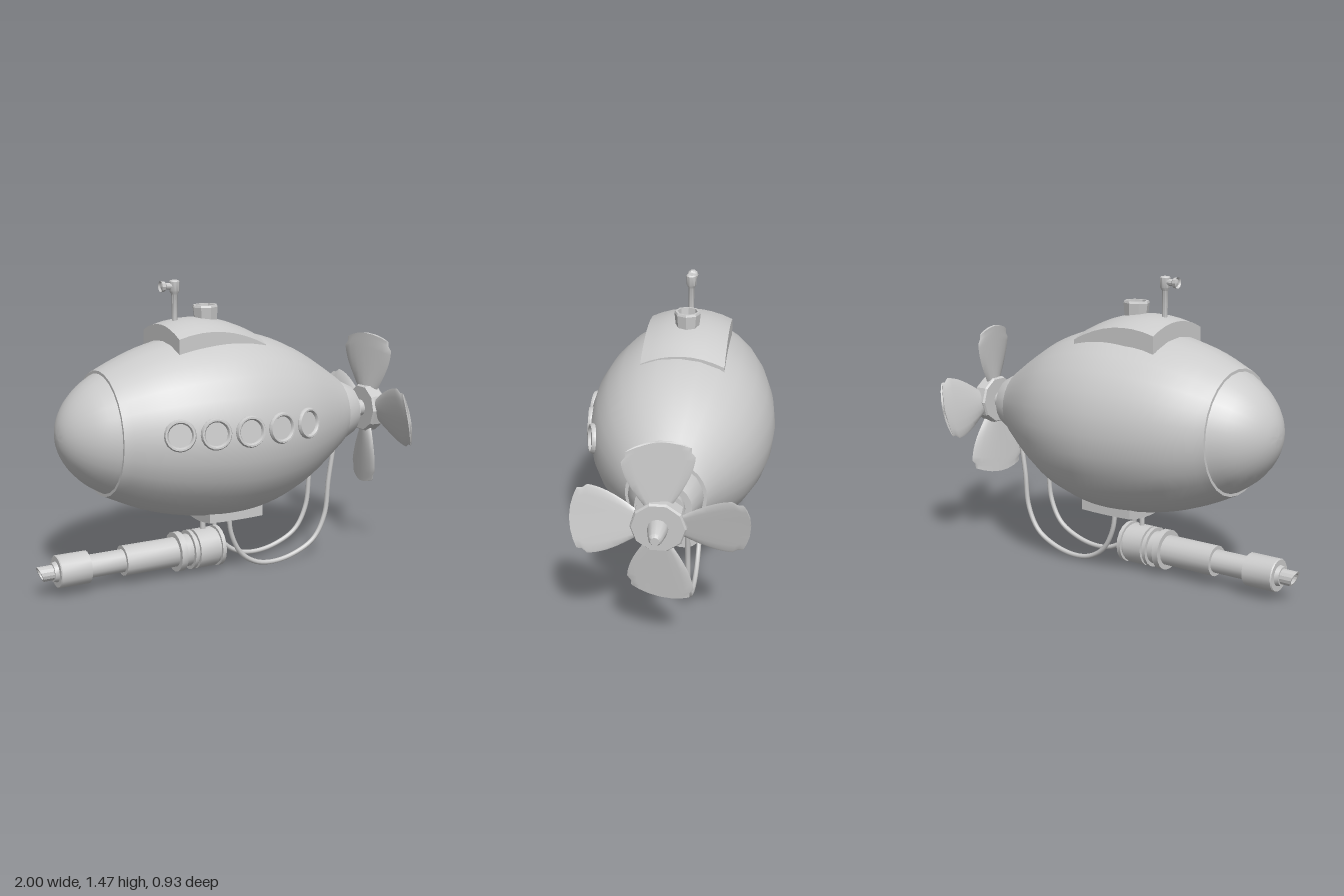
import * as THREE from 'three';
import { toCreasedNormals } from 'three/addons/utils/BufferGeometryUtils.js';

const material = new THREE.MeshStandardMaterial({ color: 0xcccccc, side: THREE.DoubleSide });
const MID_Z = -0.005;

function add(parent, name, geometry, x = 0, y = 0, z = 0) {
  const mesh = new THREE.Mesh(geometry, material);
  mesh.name = name;
  mesh.position.set(x, y, z);
  parent.add(mesh);
  return mesh;
}

// Move every vertex of a geometry by a rule
function warp(geometry, rule) {
  const p = geometry.attributes.position;
  const v = new THREE.Vector3();
  for (let i = 0; i < p.count; i++) {
    v.fromBufferAttribute(p, i);
    rule(v);
    p.setXYZ(i, v.x, v.y, v.z);
  }
  geometry.computeVertexNormals();
  return geometry;
}

// Turned part from [position, radius] pairs, around y or laid along x
const turned = (points, sides, crease = 0.6) =>
  toCreasedNormals(new THREE.LatheGeometry(points.map(([a, r]) => new THREE.Vector2(r, a)), sides), crease);
const turnedX = (points, sides, crease) => turned(points, sides, crease).rotateZ(-Math.PI / 2);

const smooth = (points, n) =>
  new THREE.SplineCurve(points.map(([a, r]) => new THREE.Vector2(a, r))).getPoints(n).map((p) => [p.x, Math.max(p.y, 0)]);

// Slab bent to follow the hull
function bentSlab(w, h, d, bendX, bendZ, peakX) {
  return warp(new THREE.BoxGeometry(w, h, d, 8, 1, 8), (v) => {
    v.y += bendX * (v.x - peakX) ** 2 + bendZ * v.z ** 2;
  });
}

function buildHull(group) {
  const profile = smooth([[-0.67, 0.3], [-0.5, 0.376], [-0.33, 0.425], [-0.15, 0.453], [0, 0.456],
    [0.15, 0.434], [0.3, 0.385], [0.45, 0.305], [0.63, 0.187]], 24);
  add(group, 'hull', turnedX([[-0.67, 0.28], ...profile, [0.63, 0.15]], 28));
  add(group, 'noseDome', turnedX(smooth([[-0.88, 0], [-0.872, 0.06], [-0.845, 0.125], [-0.8, 0.187],
    [-0.74, 0.242], [-0.66, 0.292]], 14), 28, 1));
  add(group, 'tailCone', turnedX([[0.62, 0.172], [0.64, 0.172], [0.73, 0.13], [0.73, 0.1], [0.755, 0.1],
    [0.755, 0.043], [0.83, 0.043]], 20));

  // Row of portholes along one side, each facing along the hull normal
  const radiusAt = (x) => {
    const i = profile.findIndex(([a]) => a > x);
    const [a, b] = [profile[i - 1], profile[i]];
    return a[1] + ((b[1] - a[1]) * (x - a[0])) / (b[0] - a[0]);
  };
  const rim = turned([[-0.03, 0.07], [0.005, 0.075], [0.017, 0.069], [0.017, 0.061], [0.008, 0.055], [-0.012, 0.053]], 20)
    .rotateX(Math.PI / 2);
  for (const x of [-0.437, -0.273, -0.105, 0.066, 0.236]) {
    const r = radiusAt(x);
    const dy = 0.047;
    const slope = (radiusAt(x + 0.02) - radiusAt(x - 0.02)) / 0.04;
    const z = Math.sqrt(r * r - dy * dy);
    const normal = new THREE.Vector3(-slope, dy / r, z / r).normalize();
    const porthole = new THREE.Group();
    porthole.name = 'porthole';
    porthole.position.set(x, dy, z - 0.004);
    porthole.quaternion.setFromUnitVectors(new THREE.Vector3(0, 0, 1), normal);
    add(porthole, 'portholeRim', rim);
    add(porthole, 'portholeGlass', new THREE.CircleGeometry(0.056, 20), 0, 0, 0.003);
    group.add(porthole);
  }
}

function buildPropeller(group) {
  add(group, 'propellerHub', turnedX([[0.82, 0], [0.82, 0.118], [0.83, 0.125], [0.89, 0.125], [0.9, 0.118], [0.9, 0]], 10, 0.3));
  add(group, 'spinner', turnedX([[0.89, 0.047], [0.92, 0.044], [0.985, 0.03], [1, 0.02], [1, 0]], 12));
  // Blade: flat oval section that widens outward, pitched and rounded at the tip
  const blade = warp(new THREE.CylinderGeometry(1, 1, 1, 16, 12), (v) => {
    const t = v.y + 0.5;
    const width = 0.055 + 0.1 * Math.sin(Math.min(t / 0.9, 1) * Math.PI / 2) - (t > 0.9 ? 0.018 : 0);
    const side = v.z;
    const z = side * width;
    v.set(v.x * (0.018 - 0.008 * t) + 0.24 * z - 0.012 * t + 0.01 * side * side, 0.09 + 0.308 * t - 0.035 * t * side * side, z);
  });
  for (let i = 0; i < 4; i++) {
    const mesh = add(group, 'propellerBlade', toCreasedNormals(blade, 0.9), 0.855);
    mesh.rotation.x = (i * Math.PI) / 2;
  }
}

function buildTop(group) {
  add(group, 'deckPlate', bentSlab(0.465, 0.085, 0.4, -0.9, -1.2, -0.065), -0.103, 1.243, -0.02);
  const hatch = add(group, 'hatch', turned([[0, 0.056], [0.075, 0.064], [0.085, 0.06], [0.085, 0.049], [0.035, 0.045], [0.035, 0]], 8, 0.4),
    -0.095, 1.258, -0.02);
  hatch.rotation.z = 0.03;

  // Periscope looks toward the nose
  const periscope = new THREE.Group();
  periscope.name = 'periscope';
  periscope.position.set(-0.262, 0, -0.02);
  add(periscope, 'periscopeTube', turned([[1.25, 0.013], [1.4, 0.015], [1.415, 0.024], [1.462, 0.026], [1.468, 0.02], [1.468, 0]], 10));
  add(periscope, 'periscopeEye', turnedX([[-0.07, 0], [-0.064, 0.019], [-0.073, 0.027], [-0.055, 0.025],
    [-0.046, 0.016], [0, 0.016]], 10), 0, 1.44);
  group.add(periscope);
}

function buildUnderside(group) {
  add(group, 'bellyMount', bentSlab(0.295, 0.062, 0.325, 0.15, 0.75, 0), -0.018, 0.302, MID_Z);
  add(group, 'gunPost', new THREE.CylinderGeometry(0.014, 0.014, 0.14, 10), -0.123, 0.24, MID_Z);

  // Stepped gun barrel with raised bands
  add(group, 'gunBody', turnedX([
    [-0.925, 0], [-0.925, 0.045], [-0.905, 0.05], [-0.905, 0.076], [-0.9, 0.08], [-0.75, 0.08], [-0.75, 0.057],
    [-0.565, 0.057], [-0.565, 0.075], [-0.285, 0.075], [-0.285, 0.1], [-0.252, 0.1], [-0.252, 0.082],
    [-0.21, 0.082], [-0.21, 0.1], [-0.192, 0.1], [-0.192, 0.085], [-0.18, 0.085], [-0.18, 0.1],
    [-0.075, 0.1], [-0.075, 0.09], [-0.06, 0.09], [-0.06, 0.103], [-0.04, 0.103], [-0.04, 0]], 18), 0, 0.12, MID_Z);
  const muzzle = turnedX([[-0.92, 0.037], [-0.985, 0.037], [-0.985, 0.028], [-0.93, 0.028], [-0.93, 0]], 14);
  warp(muzzle, (v) => { if (v.x < -0.96) v.x -= v.y * 0.4; });
  add(group, 'gunMuzzle', muzzle, 0, 0.12, MID_Z);

  // Pair of hoses from the belly to the tail
  const path = [[-0.025, 0.31], [-0.01, 0.2], [0.045, 0.09], [0.13, 0.03], [0.23, 0.013], [0.36, 0.035],
    [0.48, 0.1], [0.545, 0.22], [0.565, 0.4], [0.59, 0.56]];
  for (const z of [0.087, -0.098]) {
    const curve = new THREE.CatmullRomCurve3(path.map(([x, y]) => new THREE.Vector3(x, y, z)));
    add(group, 'hose', new THREE.TubeGeometry(curve, 48, 0.0125, 8));
  }
}

export function createModel() {
  const model = new THREE.Group();
  model.name = 'submarine';
  // Hull and propeller share one slightly tilted axis
  const body = new THREE.Group();
  body.name = 'body';
  body.position.set(0, 0.757, MID_Z);
  body.rotation.z = -0.013;
  model.add(body);
  buildHull(body);
  buildPropeller(body);
  buildTop(model);
  buildUnderside(model);
  return model;
}
